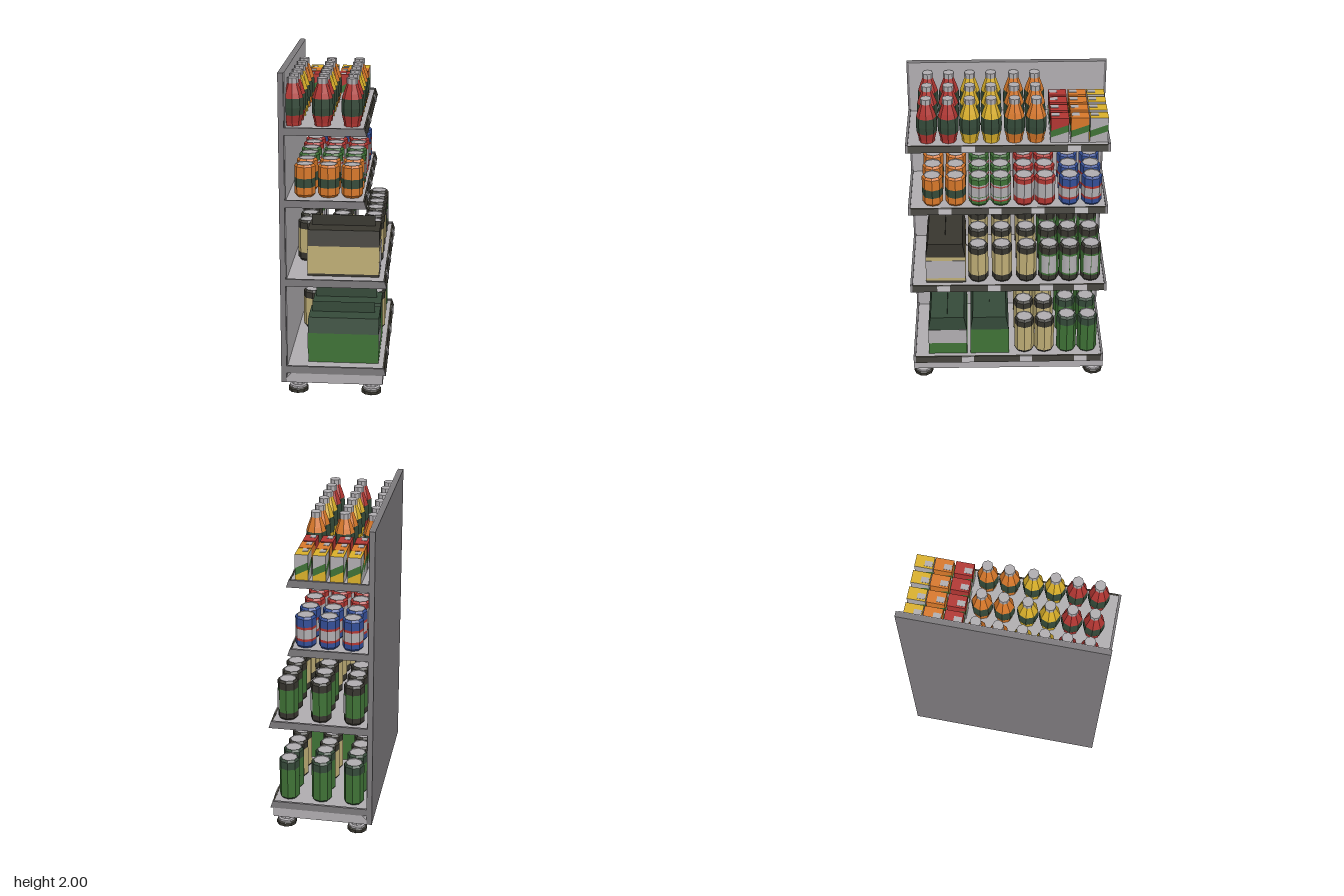
import * as THREE from 'three';

const mat = (name, color) => {
  const m = new THREE.MeshStandardMaterial({ color, side: THREE.DoubleSide });
  m.name = name;
  return m;
};

export function createModel() {
  const light = mat('light grey', 0xb0adb0), mid = mat('mid grey', 0x7c797c);
  const dark = mat('charcoal', 0x38362f), deep = mat('deep green', 0x354a39);
  const green = mat('green', 0x3f7236), red = mat('red', 0xb23632);
  const orange = mat('orange', 0xd8782a), yellow = mat('yellow', 0xdab02a);
  const tan = mat('tan', 0xbfae76), blue = mat('blue', 0x344f98);

  const root = new THREE.Group();
  root.name = 'stockedShelf';

  const group = (name, parent = root) => {
    const g = new THREE.Group();
    g.name = name;
    parent.add(g);
    return g;
  };
  const add = (parent, name, geo, m, x = 0, y = 0, z = 0) => {
    const mesh = new THREE.Mesh(geo, m);
    mesh.name = name;
    mesh.position.set(x, y, z);
    parent.add(mesh);
    return mesh;
  };
  // Box given by its min and max corners
  const box = (parent, name, m, x0, x1, y0, y1, z0, z1) =>
    add(parent, name, new THREE.BoxGeometry(x1 - x0, y1 - y0, z1 - z0), m,
      (x0 + x1) / 2, (y0 + y1) / 2, (z0 + z1) / 2);
  // Flat-faced turned band
  const turned = (points, sides = 8) => {
    const g = new THREE.LatheGeometry(points.map(p => new THREE.Vector2(...p)), sides).toNonIndexed();
    g.computeVertexNormals();
    return g;
  };
  // Extrudes an (x, y) outline along z, centred
  const slab = (points, depth) => {
    const g = new THREE.ExtrudeGeometry(new THREE.Shape(points.map(p => new THREE.Vector2(...p))),
      { depth, bevelEnabled: false });
    return g.translate(0, 0, -depth / 2);
  };

  // Back panel, base and feet
  box(root, 'backPanel', mid, -0.325, -0.292, 0.07, 2, -0.62, 0.62);
  box(root, 'innerPanel', light, -0.292, -0.288, 0.13, 2, -0.605, 0.605);
  add(root, 'base', slab([[-0.292, 0.07], [0.3, 0.07], [0.3, 0.13], [-0.265, 0.13], [-0.292, 0.1]], 1.24), light);
  const pad = turned([[0, 0], [0.063, 0], [0.063, 0.02], [0.055, 0.027], [0, 0.027]], 10);
  const stem = turned([[0.055, 0.025], [0.055, 0.04], [0.042, 0.045], [0.042, 0.07]], 10);
  for (const x of [-0.225, 0.228]) for (const z of [-0.56, 0.56]) {
    const foot = group('foot');
    foot.position.set(x, 0, z);
    add(foot, 'footPad', pad, dark);
    add(foot, 'footStem', stem, light);
  }

  // Shelves: tray, end caps, dark price rail and tags
  const shelves = [
    [0.13, 0.32, [0.265, -0.115, -0.47]],
    [0.695, 0.32, [0.41, 0.09, -0.24, -0.455]],
    [1.19, 0.195, [0.39, 0.08, -0.185, -0.455]],
    [1.63, 0.195, [0.24, -0.4]],
  ];
  for (const [y, xe, tags] of shelves) {
    const s = group('shelf');
    s.position.y = y;
    box(s, 'tray', light, -0.29, xe - 0.015, 0.015, 0.037, -0.607, 0.607);
    const cap = slab([[-0.292, 0], [xe, 0], [xe - 0.015, 0.046], [-0.292, 0.046]], 0.015);
    for (const z of [-0.6125, 0.6125]) add(s, 'endCap', cap, mid, 0, 0, z);
    const rail = [[xe - 0.012, 0], [xe - 0.001, 0], [xe - 0.012, 0.04], [xe - 0.023, 0.04]];
    add(s, 'priceRail', slab(rail, 1.21), dark);
    const tag = slab([[xe - 0.002, 0.003], [xe + 0.003, 0.003], [xe - 0.008, 0.04], [xe - 0.013, 0.04]], 0.08);
    for (const z of tags) add(s, 'priceTag', tag, light, 0, 0, z);
  }

  // Repeats a turned product over rows and columns; parts are [name, material, geometry]
  const stock = (name, parts, y, xs, zs) => {
    for (const z of zs) for (const x of xs) {
      const g = group(name);
      g.position.set(x, y, z);
      for (const [part, m, geo] of parts) add(g, part, geo, m);
    }
  };

  // Bottles
  const body = turned([[0, 0], [0.048, 0], [0.05, 0.02], [0.061, 0.065]]);
  const label = turned([[0.061, 0.065], [0.064, 0.11], [0.061, 0.165]]);
  const neck = turned([[0.061, 0.165], [0.052, 0.195], [0.03, 0.255]]);
  const cap = turned([[0.033, 0.252], [0.033, 0.285], [0, 0.285]]);
  [[red, [0.49, 0.36]], [yellow, [0.23, 0.1]], [orange, [-0.04, -0.17]]].forEach(([m, zs]) =>
    stock('bottle', [['bottleBody', m, body], ['bottleLabel', deep, label],
      ['bottleNeck', m, neck], ['bottleCap', light, cap]], 1.667, [-0.25, -0.075, 0.1], zs));

  // Cans: bands listed from the bottom as [material, top height]
  const can = (h, end, bands) => {
    const parts = [['canFoot', end, turned([[0, 0], [0.052, 0], [0.064, 0.015]])]];
    let y = 0.015;
    for (const [m, top] of bands) {
      parts.push(['canBand', m, turned([[0.064, y], [0.064, top]])]);
      y = top;
    }
    parts.push(['canShoulder', end, turned([[0.064, y], [0.064, h - 0.014], [0.053, h]])]);
    parts.push(['canLid', light, turned([[0.053, h], [0.05, h - 0.004], [0, h - 0.004]])]);
    return parts;
  };
  const smallX = [-0.185, -0.042, 0.1], tallX = [-0.195, 0.01, 0.215];
  stock('orangeCan', can(0.2, orange, [[orange, 0.06], [deep, 0.115]]), 1.228, smallX, [0.468, 0.325]);
  stock('greenCan', can(0.2, green, [[green, 0.035], [red, 0.045], [light, 0.06], [green, 0.065], [light, 0.13],
    [red, 0.138], [light, 0.148]]), 1.228, smallX, [0.18, 0.045]);
  stock('redCan', can(0.2, red, [[red, 0.055], [light, 0.155]]), 1.228, smallX, [-0.1, -0.23]);
  stock('blueCan', can(0.2, blue, [[blue, 0.045], [red, 0.06], [light, 0.12], [red, 0.135]]),
    1.228, smallX, [-0.38, -0.52]);
  stock('tanTallCan', can(0.265, dark, [[dark, 0.055], [tan, 0.21]]), 0.733, tallX, [0.19, 0.04, -0.115]);
  const frontLabel = new THREE.CylinderGeometry(0.0655, 0.0655, 0.13, 3, 1, true, Math.PI / 4, Math.PI * 0.5);
  frontLabel.translate(0, 0.13, 0);
  stock('greenTallCan', [...can(0.265, dark, [[dark, 0.05], [green, 0.205]]), ['canLabel', light, frontLabel]],
    0.733, tallX, [-0.255, -0.385, -0.52]);
  stock('tanBottomCan', can(0.26, dark, [[dark, 0.02], [tan, 0.205]]), 0.168, tallX, [-0.105, -0.235]);
  stock('greenBottomCan', can(0.28, deep, [[green, 0.215]]), 0.168, tallX, [-0.38, -0.515]);

  // Carry packs with sloped top and upright handle
  const pack = (y, z, m, top, foot, labelled) => {
    const g = group('carryPack');
    g.position.set(0.05, y, z);
    box(g, 'packFoot', foot, -0.218, 0.218, 0, 0.015, -0.125, 0.125);
    box(g, 'packBody', m, -0.218, 0.218, 0.015, 0.19, -0.125, 0.125);
    const roof = slab([[-0.125, 0.19], [0.125, 0.19], [0.108, 0.288], [-0.108, 0.288]], 0.436);
    add(g, 'packTop', roof.rotateY(Math.PI / 2), top);
    add(g, 'packHandle', new THREE.PlaneGeometry(0.39, 0.067), top, -0.008, 0.321, 0);
    if (labelled) for (const s of [-1, 1])
      box(g, 'packLabel', light, s * 0.218 - 0.003, s * 0.218 + 0.003, labelled[0], labelled[1], -0.124, 0.124);
  };
  pack(0.733, 0.395, tan, dark, dark, [0.035, 0.165]);
  pack(0.168, 0.395, green, deep, green, [0.085, 0.19]);
  pack(0.168, 0.122, green, deep, green, null);

  // Drink cartons with slanted bands around the sides
  const W = 0.078, D = 0.11, H = 0.165;
  const left = [0, 0.035, 0.08, H], right = [0, 0.075, 0.12, H];
  const band = (i, width) => new THREE.ShapeGeometry(new THREE.Shape([
    [-width / 2, left[i]], [width / 2, right[i]], [width / 2, right[i + 1]], [-width / 2, left[i + 1]],
  ].map(p => new THREE.Vector2(...p))));
  const carton = (x, z, m, sideBands, endBands) => {
    const g = group('drinkCarton');
    g.position.set(x, 1.667, z);
    for (let k = 0; k < 4; k++) {
      const end = k % 2 === 0, side = group('cartonSide', g);
      side.rotation.y = k * Math.PI / 2;
      (end ? endBands : sideBands).forEach((bm, i) =>
        add(side, 'cartonBand', band(i, end ? W : D), bm, 0, 0, (end ? D : W) / 2));
    }
    add(g, 'cartonTop', new THREE.PlaneGeometry(W, D).rotateX(-Math.PI / 2), m, 0, H, 0);
    add(g, 'cartonSeal', new THREE.BoxGeometry(0.034, 0.003, 0.047), light, -0.01, H + 0.001, 0.026);
  };
  for (const x of [-0.204, -0.102, 0.002, 0.106]) {
    carton(x, -0.312, red, [light, green, red], [light, green, red]);
    carton(x, -0.434, orange, [light, green, orange], [light, green, orange]);
    carton(x, -0.549, yellow, [light, green, light], [yellow, green, light]);
  }
  return root;
}
